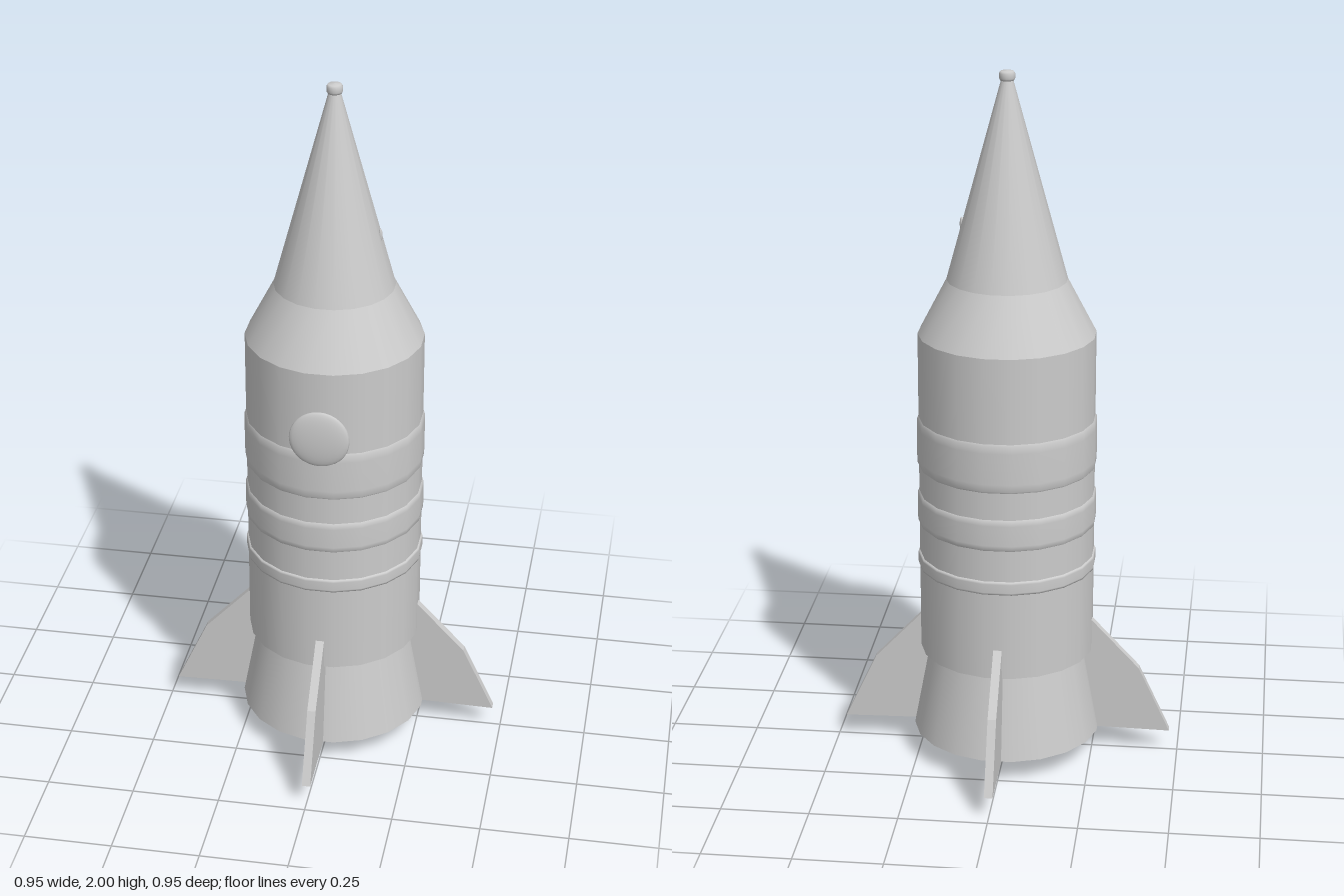
import * as THREE from 'three';

const SIDES = 20;
const material = new THREE.MeshStandardMaterial({ color: 0xcccccc });

export function createModel() {
  const rocket = new THREE.Group();

  const add = (name, geometry, parent = rocket) => {
    const mesh = new THREE.Mesh(geometry, material);
    mesh.name = name;
    parent.add(mesh);
    return mesh;
  };

  // Round section between two heights, with a flat side facing each axis
  const section = (name, y0, y1, r0, r1 = r0) => {
    const g = new THREE.CylinderGeometry(r1, r0, y1 - y0, SIDES);
    g.rotateY(Math.PI / SIDES);
    g.translate(0, (y0 + y1) / 2, 0);
    return add(name, g);
  };

  section('nozzle', 0, 0.08, 0.136);
  section('engineSkirt', 0.07, 0.325, 0.27, 0.222);
  section('body', 0.32, 1.265, 0.249);
  section('shoulder', 1.265, 1.42, 0.249, 0.168);
  section('noseCone', 1.42, 1.98, 0.168, 0.015);

  // Raised bands with softened edges around the body
  for (const [y0, y1] of [[0.575, 0.617], [0.705, 0.802], [0.875, 1.025]]) {
    const b = (y1 - y0) * 0.2;
    const profile = [[0.246, y0], [0.253, y0 + b * 0.3], [0.254, y0 + b], [0.254, y1 - b], [0.253, y1 - b * 0.3], [0.246, y1]];
    const g = new THREE.LatheGeometry(profile.map(([r, y]) => new THREE.Vector2(r, y)), SIDES);
    g.rotateY(Math.PI / SIDES);
    add('bodyBand', g);
  }

  // Rounded cap on the tip
  const cap = [[0, 1.972], [0.019, 1.973], [0.022, 1.979], [0.022, 1.992], [0.018, 1.998], [0, 2]];
  add('tipCap', new THREE.LatheGeometry(cap.map(([r, y]) => new THREE.Vector2(r, y)), 16));

  // Shallow domed porthole on the front
  const porthole = add('porthole', new THREE.SphereGeometry(0.084, 24, 16));
  porthole.scale.z = 0.19;
  porthole.position.set(0, 1.066, 0.247);

  // Small stud on the left of the nose
  const stud = add('noseStud', new THREE.SphereGeometry(0.02, 10, 8));
  stud.scale.set(0.3, 1, 0.35);
  stud.position.set(0.125, 1.572, 0);

  // Four swept fins
  const outline = [[0.21, 0.07], [0.476, 0.065], [0.385, 0.26], [0.247, 0.406], [0.21, 0.406]];
  const finShape = new THREE.Shape(outline.map(([x, y]) => new THREE.Vector2(x, y)));
  const finGeometry = new THREE.ExtrudeGeometry(finShape, { depth: 0.024, bevelEnabled: false });
  finGeometry.translate(0, 0, -0.012);
  const fins = new THREE.Group();
  fins.name = 'fins';
  rocket.add(fins);
  for (let i = 0; i < 4; i++) add('fin', finGeometry, fins).rotation.y = (i * Math.PI) / 2;

  return rocket;
}
